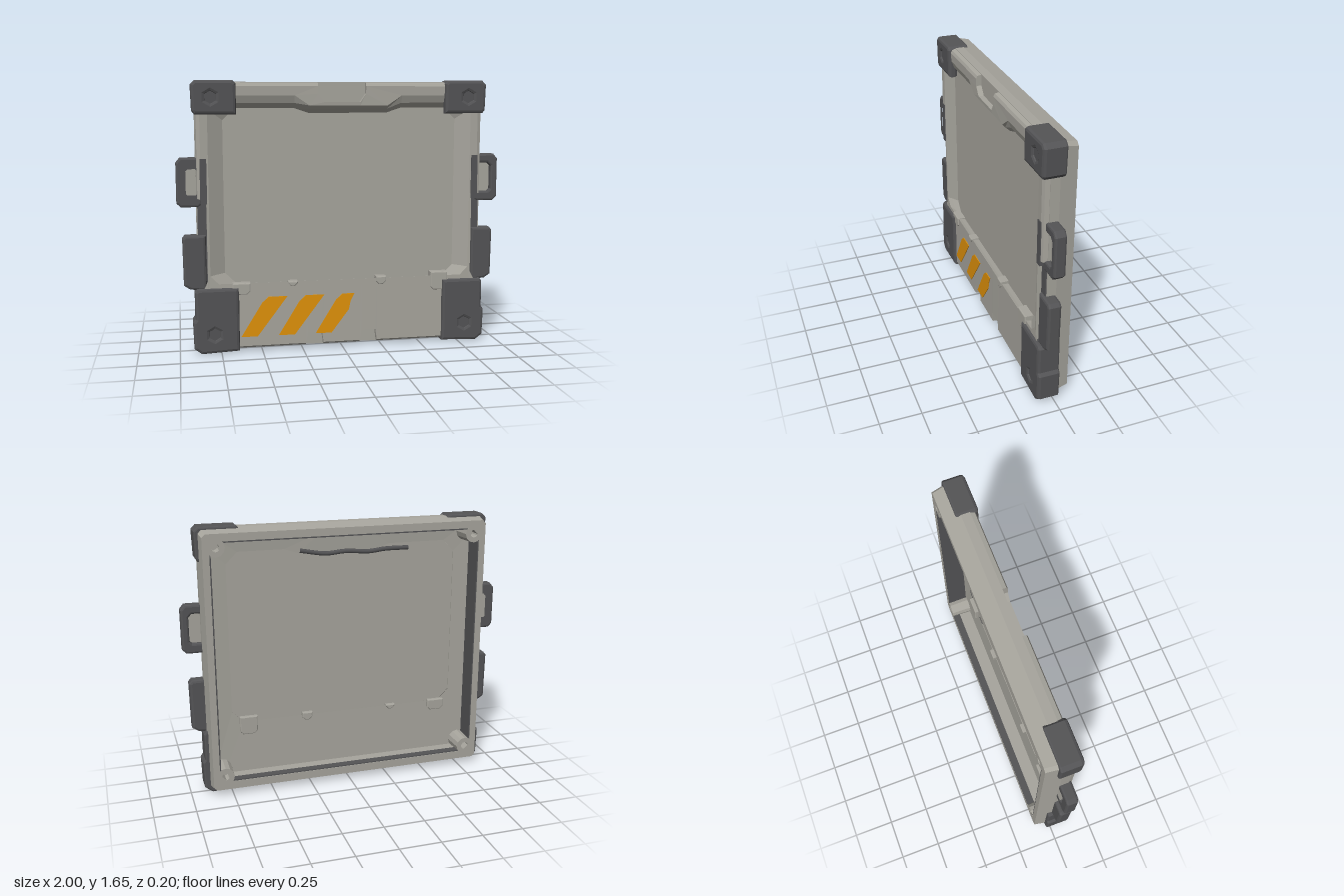
import * as THREE from 'three';

const mat = (name, color, side = THREE.FrontSide) => {
  const m = new THREE.MeshStandardMaterial({ color, side });
  m.name = name;
  return m;
};

export function createModel() {
  const root = new THREE.Group();
  root.name = 'equipmentCover';
  const shellGrey = mat('shellGrey', 0xa7a59d, THREE.DoubleSide);
  const rubberGrey = mat('rubberGrey', 0x545456);
  const hazardOrange = mat('hazardOrange', 0xe0920a);

  const add = (name, geo, material, x = 0, y = 0, z = 0) => {
    const m = new THREE.Mesh(geo, material);
    m.name = name;
    m.position.set(x, y, z);
    root.add(m);
    return m;
  };
  const box = (name, material, x0, x1, y0, y1, z0, z1) =>
    add(name, new THREE.BoxGeometry(Math.abs(x1 - x0), y1 - y0, z1 - z0), material,
      (x0 + x1) / 2, (y0 + y1) / 2, (z0 + z1) / 2);
  const shapeOf = (pts) => new THREE.Shape(pts.map(([x, y]) => new THREE.Vector2(x, y)));

  // Bevelled slab whose overall size, bevel included, matches the given outline and z range
  const slab = (name, material, pts, z0, z1, bevel = 0.015, hole = null) => {
    const shape = shapeOf(pts);
    if (hole) shape.holes.push(hole);
    const geo = new THREE.ExtrudeGeometry(shape, {
      depth: z1 - z0 - 2 * bevel, bevelEnabled: bevel > 0, bevelThickness: bevel,
      bevelSize: bevel, bevelOffset: -bevel, bevelSegments: 2, curveSegments: 8 });
    return add(name, geo, material, 0, 0, z0 + bevel);
  };

  // Outline with matching point order; notch cuts the bottom edge, both sides and the top grip
  const outline = (w, y0, y1, c, { notch = false, top = null } = {}) => {
    const low = notch ? 0.1 : y0, side = notch ? 0.825 : w;
    const grip = notch
      ? [[0.145, y1], [0.145, 1.57], [0.11, 1.52], [-0.11, 1.52], [-0.15, 1.57], [-0.15, y1]]
      : [0.145, 0.145, 0.11, -0.11, -0.15, -0.15].map((x) => [x, y1]);
    const flank = [[w, 0.39], [side, 0.4], [side, 0.93], [w, 0.95]].map(([x, y]) => [x, Math.max(y, y0 + c)]);
    return [
      [-w, y0 + c], [-w + c, y0],
      [-0.23, y0], [-0.22, low], [-0.13, low], [-0.12, y0],
      [0.11, y0], [0.12, low], [0.21, low], [0.22, y0],
      [w - c, y0], [w, y0 + c], ...flank, [w, y1 - c], [w - c, y1],
      ...(top || grip), [-w + c, y1], [-w, y1 - c],
      ...flank.map(([x, y]) => [-x, y]).reverse(),
    ];
  };
  const dip = (y, d) => [[0.37, y], [0.28, y - d], [0.11, y - d], [-0.11, y - d], [-0.2, y - d], [-0.29, y]];

  // Shell: inner border, back rim, side walls, rounded front border and slope to the sunken panel
  const panelEdge = outline(0.72, 0.42, 1.485, 0.07, { top: dip(1.485, 0.03) });
  const opening = outline(0.83, 0.09, 1.575, 0.05);
  const levels = [
    [panelEdge, 0.036],
    [opening, 0.03],
    [opening, -0.1],
    [outline(0.87, 0.04, 1.62, 0.02), -0.1],
    [outline(0.885, 0.02, 1.64, 0.02), 0],
    [outline(0.885, 0.02, 1.64, 0.02), 0.055],
    [outline(0.882, 0.022, 1.637, 0.02, { notch: true }), 0.055],
    [outline(0.876, 0.026, 1.632, 0.02, { notch: true }), 0.08],
    [outline(0.855, 0.036, 1.615, 0.02, { notch: true }), 0.088],
    [outline(0.81, 0.43, 1.56, 0.05, { top: dip(1.56, 0.06) }), 0.086],
    [outline(0.775, 0.425, 1.515, 0.06, { top: dip(1.515, 0.035) }), 0.068],
    [panelEdge, 0.04],
  ];
  const verts = [];
  for (let l = 0; l + 1 < levels.length; l++) {
    const [a, za] = levels[l], [b, zb] = levels[l + 1];
    for (let i = 0; i < a.length; i++) {
      const j = (i + 1) % a.length;
      const p = [...a[i], za], q = [...a[j], za], r = [...b[j], zb], s = [...b[i], zb];
      verts.push(...p, ...q, ...r, ...p, ...r, ...s);
    }
  }
  const shellGeo = new THREE.BufferGeometry();
  shellGeo.setAttribute('position', new THREE.Float32BufferAttribute(verts, 3));
  shellGeo.computeVertexNormals();
  add('shell', shellGeo, shellGrey);
  add('sunkenPanel', new THREE.ShapeGeometry(shapeOf(panelEdge)), shellGrey, 0, 0, 0.04);

  // Floors that close the grip cut and the two bottom cuts
  box('gripFloor', shellGrey, -0.16, 0.16, 1.51, 1.63, 0.045, 0.054);
  for (const x of [-0.175, 0.165]) box('bottomCutFloor', shellGrey, x - 0.06, x + 0.06, 0.03, 0.11, 0.045, 0.054);

  // Clips along the top edge of the lower plate
  for (const [x, w, y0, y1] of [[-0.625, 0.11, 0.36, 0.43], [-0.31, 0.06, 0.4, 0.43],
    [0.245, 0.065, 0.39, 0.44], [0.62, 0.11, 0.34, 0.455]]) {
    slab('clip', shellGrey, [[x - w / 2, y0 + 0.02], [x - w / 2 + 0.02, y0], [x + w / 2 - 0.02, y0],
      [x + w / 2, y0 + 0.02], [x + w / 2, y1], [x - w / 2, y1]], 0.015, 0.093, 0.006);
  }

  // Slanted hazard stripes
  for (const x of [-0.63, -0.4, -0.17]) {
    const end = x > -0.2 ? [[x + 0.21, 0.24], [x + 0.22, 0.29], [x + 0.245, 0.34]] : [[x + 0.285, 0.34]];
    slab('hazardStripe', hazardOrange, [[x, 0.095], [x + 0.1, 0.095], ...end,
      [x + 0.17, 0.34], [x + 0.13, 0.305]], 0.087, 0.0915, 0);
  }

  // Dark lining of the inner walls
  box('topLining', rubberGrey, -0.78, 0.78, 1.567, 1.574, -0.098, 0.029);
  box('bottomLining', rubberGrey, -0.78, 0.78, 0.091, 0.098, -0.098, -0.05);

  // Cable lying behind the grip
  const cable = new THREE.CatmullRomCurve3([[0.28, 1.475, 0.015], [0.12, 1.45, 0.01], [0, 1.46, 0],
    [-0.15, 1.45, 0], [-0.25, 1.46, 0], [-0.4, 1.46, 0]].map((p) => new THREE.Vector3(...p)));
  add('cable', new THREE.TubeGeometry(cable, 24, 0.014, 6), rubberGrey);

  for (const s of [1, -1]) {
    const flip = (pts) => pts.map(([x, y]) => [x * s, y]);
    const hexHole = (y) => {
      const h = new THREE.Path();
      for (let i = 0; i < 6; i++) {
        const a = (i + 0.5) * Math.PI / 3;
        h[i ? 'lineTo' : 'moveTo'](s * 0.79 + 0.035 * Math.cos(a), y + 0.035 * Math.sin(a));
      }
      h.closePath();
      return h;
    };

    box('sideLining', rubberGrey, s * 0.822, s * 0.829, 0.13, 1.53, -0.098, 0.029);

    // Corner bumpers: a front cap with a hexagonal screw well and a wrap around the outer edges
    const topOuter = [[0.885, 1.45], [0.9, 1.47], [0.905, 1.625], [0.88, 1.65], [0.66, 1.65], [0.64, 1.63]];
    const bottomOuter = [[0.64, 0.01], [0.87, 0], [0.915, 0.035], [0.92, 0.2], [0.905, 0.22],
      [0.905, 0.385], [0.89, 0.405]];
    slab('topCornerBumper', rubberGrey, flip([[0.64, 1.45], ...topOuter]), 0.045, 0.105, 0.018, hexHole(1.55));
    slab('topCornerWrap', rubberGrey, flip([...topOuter, [0.64, 1.595], [0.85, 1.595], [0.85, 1.45]]), -0.03, 0.085, 0.01);
    slab('bottomCornerBumper', rubberGrey, flip([...bottomOuter, [0.64, 0.405]]), 0.045, 0.105, 0.018, hexHole(0.12));
    slab('bottomCornerWrap', rubberGrey, flip([...bottomOuter, [0.85, 0.405], [0.85, 0.065], [0.64, 0.065]]), -0.03, 0.085, 0.01);

    for (const y of [0.12, 1.55]) {
      const well = add('screwWell', new THREE.CylinderGeometry(0.06, 0.06, 0.006, 12), rubberGrey, s * 0.79, y, 0.091);
      well.rotation.x = Math.PI / 2;
    }

    // Hollow screw posts inside the four corners
    for (const y of [0.125, 1.54]) {
      const profile = [[0.001, -0.03], [0.024, -0.03], [0.024, -0.1], [0.055, -0.1], [0.06, 0.032]];
      const post = add('screwPost', new THREE.LatheGeometry(
        profile.map(([r, h]) => new THREE.Vector2(r, h)), 12).toNonIndexed(), shellGrey, s * 0.795, y, 0);
      post.geometry.computeVertexNormals();
      post.rotation.x = Math.PI / 2;
    }

    // Side strip, bumper and lashing loop
    box('sideStrip', rubberGrey, s * 0.825, s * 0.878, 0.39, 0.95, 0.045, 0.062);
    slab('sideBumper', rubberGrey, flip([[0.832, 0.39], [0.93, 0.4], [0.968, 0.425], [0.972, 0.71],
      [0.955, 0.73], [0.832, 0.73]]), 0, 0.08);
    const hole = new THREE.Path();
    flip([[0.862, 0.975], [0.88, 0.96], [0.94, 0.96], [0.955, 0.975], [0.955, 1.12], [0.935, 1.14],
      [0.88, 1.14], [0.862, 1.12]]).forEach(([x, y], i) => hole[i ? 'lineTo' : 'moveTo'](x, y));
    hole.closePath();
    slab('lashingLoop', rubberGrey, flip([[0.835, 0.93], [0.87, 0.9], [0.975, 0.9], [1, 0.925], [1, 1.165],
      [0.975, 1.195], [0.835, 1.195]]), 0, 0.07, 0.012, hole);
    box('loopPlate', shellGrey, s * 0.85, s * 0.97, 0.95, 1.15, 0.03, 0.038);
    box('loopBase', rubberGrey, s * 0.82, s * 0.86, 0.92, 1.19, 0.05, 0.092);
  }
  return root;
}
